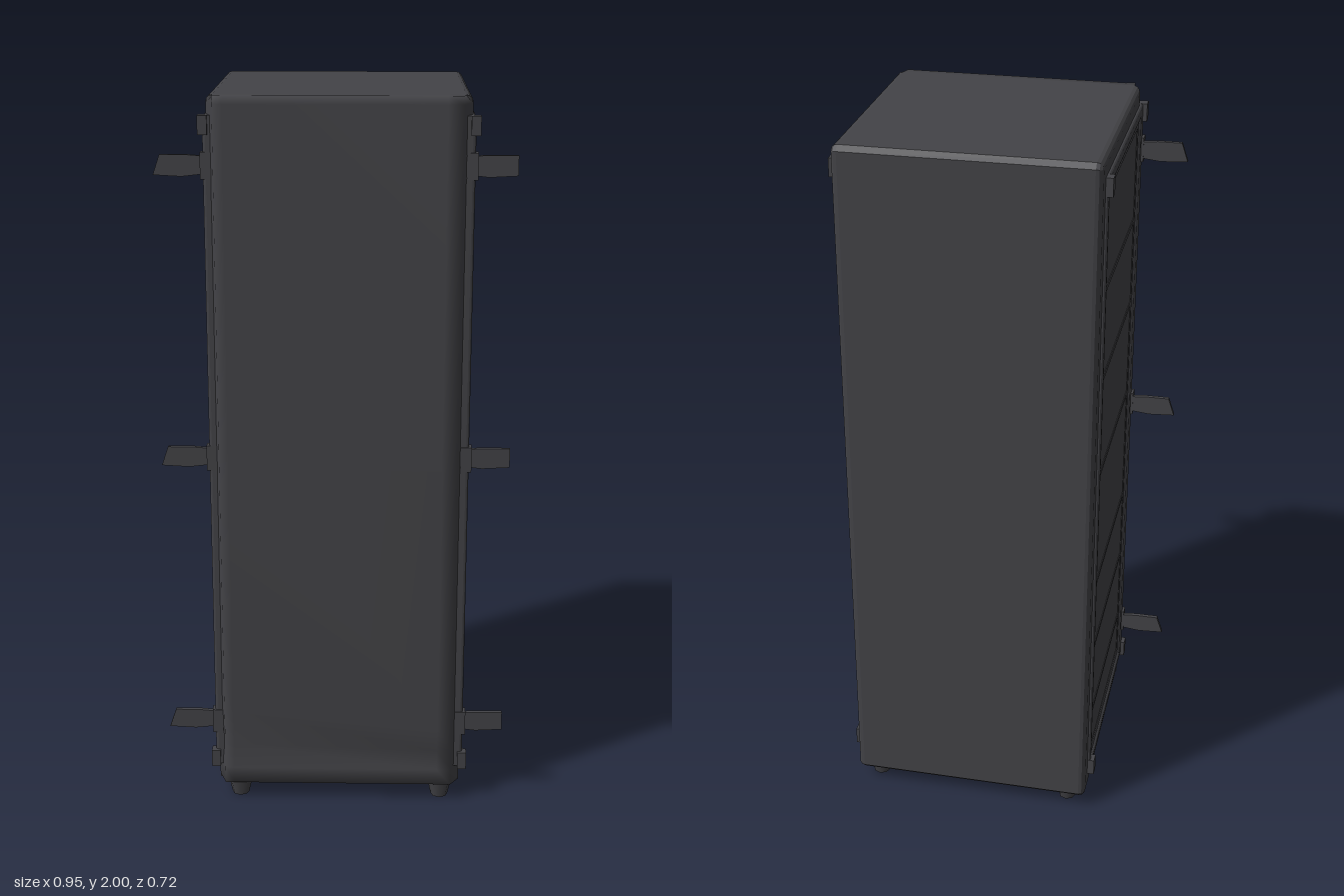
import * as THREE from 'three';

const CX = 0.01; // the cabinet sits slightly to the left of the centre line

export function createModel() {
  const cabinet = new THREE.Group();
  cabinet.name = 'cabinet';
  const metal = new THREE.MeshStandardMaterial({ color: 0x434347, side: THREE.DoubleSide });
  metal.name = 'dark grey metal';
  const inner = new THREE.MeshStandardMaterial({ color: 0x3f3f43, side: THREE.DoubleSide });
  inner.name = 'darker grey metal';

  const add = (name, geometry, material = metal, x = 0, y = 0, z = 0) => {
    const mesh = new THREE.Mesh(geometry, material);
    mesh.name = name;
    mesh.position.set(x, y, z);
    cabinet.add(mesh);
    return mesh;
  };
  const box = (name, w, h, d, x, y, z, material) =>
    add(name, new THREE.BoxGeometry(w, h, d), material, x, y, z);

  // Rectangular ring in the z-y plane, extruded along x; c chamfers the rear corners
  const ring = (z0, z1, y0, y1, width, bevel, hole, c = 0.004) => {
    const shape = new THREE.Shape([
      [-z1, y0], [-z0 - c, y0], [-z0, y0 + c], [-z0, y1 - c], [-z0 - c, y1], [-z1, y1],
    ].map(([u, v]) => new THREE.Vector2(u, v)));
    const [a0, a1, b0, b1] = hole;
    shape.holes.push(new THREE.Path([
      [-a1, b0], [-a1, b1], [-a0, b1], [-a0, b0],
    ].map(([u, v]) => new THREE.Vector2(u, v))));
    const geometry = new THREE.ExtrudeGeometry(shape, {
      depth: width - 2 * bevel, bevelThickness: bevel, bevelSize: bevel,
      bevelOffset: -bevel, bevelSegments: 3,
    });
    geometry.translate(0, 0, -(width - 2 * bevel) / 2);
    return geometry.rotateY(Math.PI / 2);
  };

  // Outer shell, open at both sides, closed by a core
  add('shell', ring(-0.36, 0.305, 0.04, 2, 0.69, 0.018, [-0.29, 0.275, 0.13, 1.92], 0.014), metal, CX);
  box('core', 0.55, 1.84, 0.59, CX, 1.025, -0.015, inner);

  // Front panel lofted from rows of [y, z at left, z at right, inset of the ends]
  const rows = [
    [2.0, 0.29, 0.29, 0.015], [2.0, 0.325, 0.325, 0.015], [1.98, 0.345, 0.345, 0], [1.0, 0.35, 0.35, 0],
    [0.28, 0.352, 0.36, 0], [0.16, 0.322, 0.352, 0], [0.1, 0.352, 0.352, 0],
    [0.05, 0.345, 0.345, 0], [0.04, 0.29, 0.29, 0],
  ];
  const columns = [-0.335, -0.315, -0.29, 0.29, 0.33, 0.355];
  const positions = [], index = [];
  rows.forEach(([y, zl, zr, inset], r) => columns.forEach((x, c) => {
    const z = [0.29, Math.min(0.345, zl + 0.01), zl, zr, Math.min(0.345, zr), 0.29][c];
    const shift = c === 0 ? inset : c === 5 ? -inset : 0;
    // the crease above the plinth falls towards the right
    const skew = r === 4 ? -0.045 * (x + 0.29) / 0.58 : 0;
    positions.push(x + shift, y + skew, z);
    if (r > 0 && c > 0) {
      const d = r * 6 + c, b = d - 6;
      index.push(b - 1, d - 1, d, b - 1, d, b);
    }
  }));
  const front = new THREE.BufferGeometry();
  front.setAttribute('position', new THREE.Float32BufferAttribute(positions, 3));
  front.setIndex(index);
  front.computeVertexNormals();
  add('frontPanel', front);

  // Feet under the four corners
  for (const x of [-0.275, 0.3]) {
    for (const z of [-0.3, 0.305]) {
      const foot = new THREE.CylinderGeometry(0.035, 0.024, 0.05, 8);
      add('foot', foot, metal, x, 0.025, z);
    }
  }

  // Drawer bays: [bottom, crease, top]
  const bays = [
    [0.16, 0.22, 0.28], [0.3, 0.36, 0.51], [0.53, 0.64, 0.72], [0.75, 0.9, 1.07],
    [1.1, 1.23, 1.36], [1.39, 1.47, 1.62], [1.64, 1.77, 1.89],
  ];
  let seed = 7;
  const random = () => (seed = (seed * 16807) % 2147483647) / 2147483647;

  // Curved, slightly tilted plate facing the side s
  const dentedPlate = (height, s) => {
    const geometry = new THREE.PlaneGeometry(0.25, height, 6, 4);
    const p = geometry.attributes.position;
    const tilt = (random() - 0.5) * 0.03, lean = 0.01 + random() * 0.02;
    for (let i = 0; i < p.count; i++) {
      const u = p.getX(i) / 0.125, v = p.getY(i) / (height / 2);
      p.setZ(i, tilt * u * (0.5 + 0.5 * v) - lean * v * 0.5 - 0.008 * (1 - u * u));
    }
    geometry.computeVertexNormals();
    return geometry.rotateY(s * Math.PI / 2);
  };

  for (const s of [1, -1]) {
    const X = (d) => CX + s * d;

    // Low bezel around the opening
    add('sideBezel', ring(-0.31, 0.325, 0.1, 1.95, 0.05, 0.008, [-0.285, 0.27, 0.13, 1.915]), metal, X(0.328));

    // Inner frame with rails and a central post
    add('innerFrame', ring(-0.295, 0.28, 0.12, 1.925, 0.06, 0.006, [-0.265, 0.25, 0.16, 1.89]), metal, X(0.317));
    box('centrePost', 0.06, 1.76, 0.018, X(0.305), 1.025, -0.005);
    for (const y of [0.29, 0.52, 0.735, 1.085, 1.375, 1.63]) {
      box('rail', 0.06, 0.014, 0.54, X(0.317), y, -0.005);
    }

    // Two columns of drawers, each front folded along its crease
    for (const [bottom, crease, top] of bays) {
      for (const z of [0.125, -0.135]) {
        for (const [a, b] of [[bottom, crease], [crease, top]]) {
          add('drawerFront', dentedPlate(b - a, s), inner, X(0.318), (a + b) / 2, z);
        }
      }
    }

    // Flat handles sticking out at the front edge, with hinge blocks
    for (const y of [0.235, 1.025, 1.82]) {
      const tip = s > 0 ? 0.475 : 0.457;
      const tab = new THREE.Shape();
      tab.moveTo(s * 0.33, -0.022);
      tab.lineTo(s * 0.4, -0.03);
      tab.lineTo(s * 0.475, -0.026);
      tab.lineTo(s * tip, 0.027);
      tab.lineTo(s * 0.39, 0.027);
      tab.lineTo(s * 0.33, 0.022);
      const geometry = new THREE.ExtrudeGeometry(tab, { depth: 0.012, bevelEnabled: false });
      add('handle', geometry, metal, 0, y, 0.298);
      box('hinge', 0.03, 0.07, 0.03, X(0.345), y, 0.312);
    }

    // Corner catches at the ends of the front and rear edges
    for (const y of [0.12, 1.925]) {
      for (const z of [-0.295, 0.32]) box('cornerCatch', 0.025, 0.05, 0.03, X(0.352), y, z);
    }
  }
  return cabinet;
}
